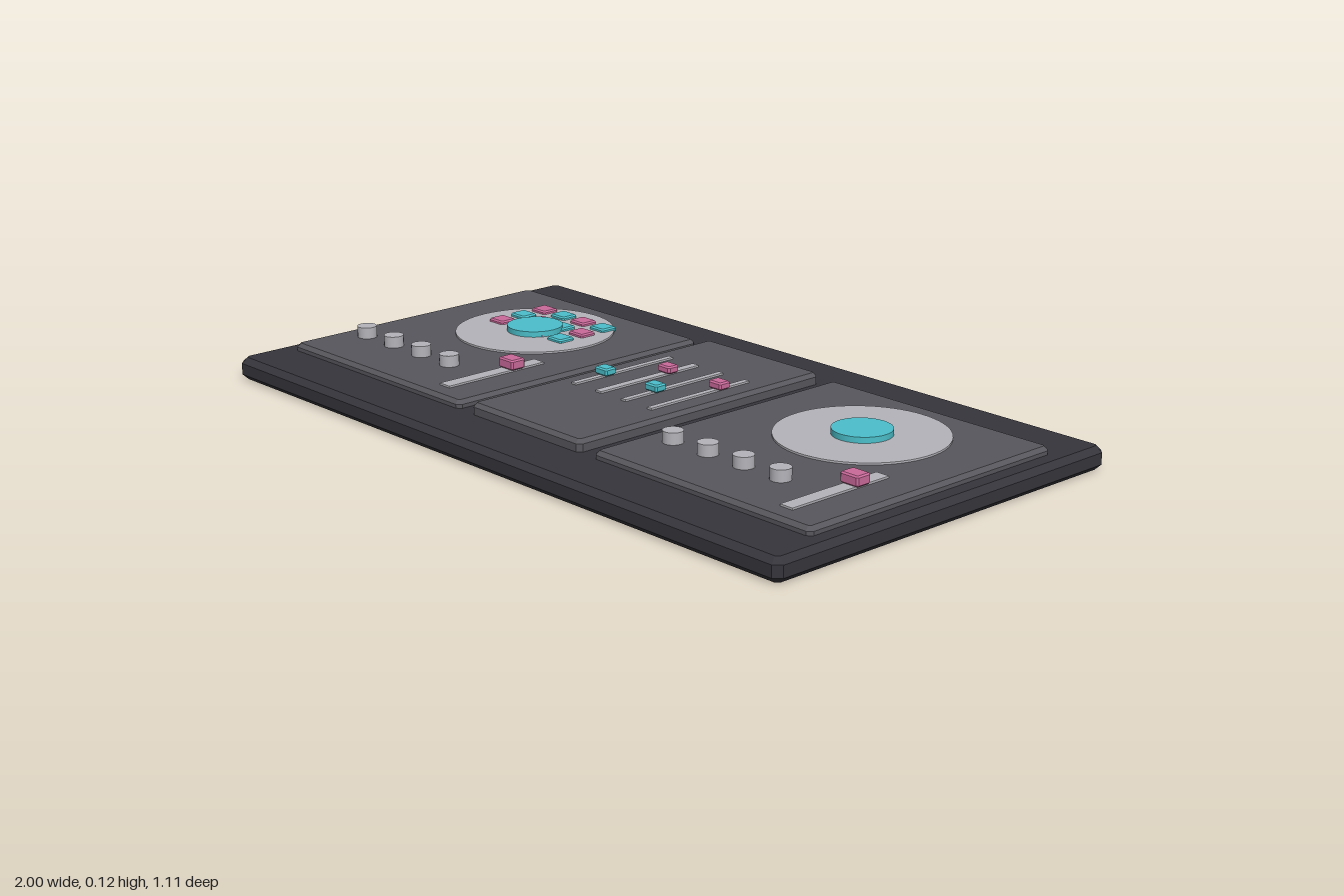
import * as THREE from 'three';

const mat = (name, color) => {
  const m = new THREE.MeshStandardMaterial({ color });
  m.name = name;
  return m;
};

// Chamfered block: w by d in plan, from y0 to y1, bevel b on every edge
function block(w, d, y0, y1, b) {
  const x = w / 2 - b, z = d / 2 - b, c = b * 0.6;
  const shape = new THREE.Shape([
    [-x + c, -z], [x - c, -z], [x, -z + c], [x, z - c],
    [x - c, z], [-x + c, z], [-x, z - c], [-x, -z + c],
  ].map(([px, pz]) => new THREE.Vector2(px, pz)));
  const geo = new THREE.ExtrudeGeometry(shape, {
    depth: y1 - y0 - 2 * b, bevelEnabled: true, bevelSize: b, bevelThickness: b, bevelSegments: 1,
  });
  return geo.rotateX(-Math.PI / 2).translate(0, y0 + b, 0);
}

function disc(r, y0, y1, sides) {
  return new THREE.CylinderGeometry(r, r, y1 - y0, sides).translate(0, (y0 + y1) / 2, 0);
}

function plate(w, d, y0, y1) {
  return new THREE.BoxGeometry(w, y1 - y0, d).translate(0, (y0 + y1) / 2, 0);
}

export function createModel() {
  const body = mat('charcoal', 0x36353c);
  const panel = mat('panel grey', 0x58575d);
  const light = mat('light grey', 0xb5b4ba);
  const teal = mat('teal', 0x4cc0cb);
  const pink = mat('pink', 0xcb6a9b);

  const model = new THREE.Group();
  model.name = 'mixingConsole';
  const add = (parent, name, geo, material, x = 0, z = 0) => {
    const mesh = new THREE.Mesh(geo, material);
    mesh.name = name;
    mesh.position.set(x, 0, z);
    parent.add(mesh);
  };

  add(model, 'base', block(2, 1.105, 0, 0.06, 0.015), body);

  // Two decks: panel, platter, knobs and pitch slider
  for (const [name, x] of [['rightDeck', -0.6], ['leftDeck', 0.6]]) {
    const deck = new THREE.Group();
    deck.name = name;
    deck.position.x = x;
    model.add(deck);
    add(deck, 'deckPanel', block(0.7, 0.81, 0.04, 0.08, 0.01), panel);
    add(deck, 'platter', disc(0.214, 0.078, 0.085, 64), light, 0, -0.135);
    add(deck, 'platterHub', disc(0.075, 0.083, 0.1, 40), teal, 0, -0.135);
    for (let i = 0; i < 4; i++) {
      add(deck, 'knob', disc(0.026, 0.078, 0.11, 20), light, -0.267 + i * 0.118, 0.227);
    }
    add(deck, 'pitchTrack', plate(0.038, 0.31, 0.078, 0.085), light, 0.228, 0.198);
    add(deck, 'pitchHandle', block(0.056, 0.045, 0.085, 0.112, 0.004), pink, 0.228, 0.134);
  }

  // Trigger pads over the right platter, in alternating colours
  const padGeo = block(0.056, 0.05, 0.078, 0.094, 0.004);
  for (let row = 0; row < 3; row++) {
    for (let col = 0; col < 4; col++) {
      add(model, 'pad', padGeo, (row + col) % 2 ? teal : pink, -0.722 + col * 0.081, -0.272 + row * 0.075);
    }
  }

  // Centre mixer with four faders
  add(model, 'mixerPanel', block(0.405, 0.81, 0.04, 0.09, 0.01), panel);
  const trackGeos = [0.016, 0.022, 0.016, 0.016].map((w) => plate(w, 0.333, 0.088, 0.095));
  const handleGeo = block(0.045, 0.036, 0.095, 0.115, 0.004);
  [-0.142, -0.049, 0.044, 0.137].forEach((x, i) => {
    add(model, 'faderTrack', trackGeos[i], light, x, -0.043);
    add(model, 'faderHandle', handleGeo, i % 2 ? pink : teal, x, i % 2 ? -0.113 : 0.017);
  });

  return model;
}
